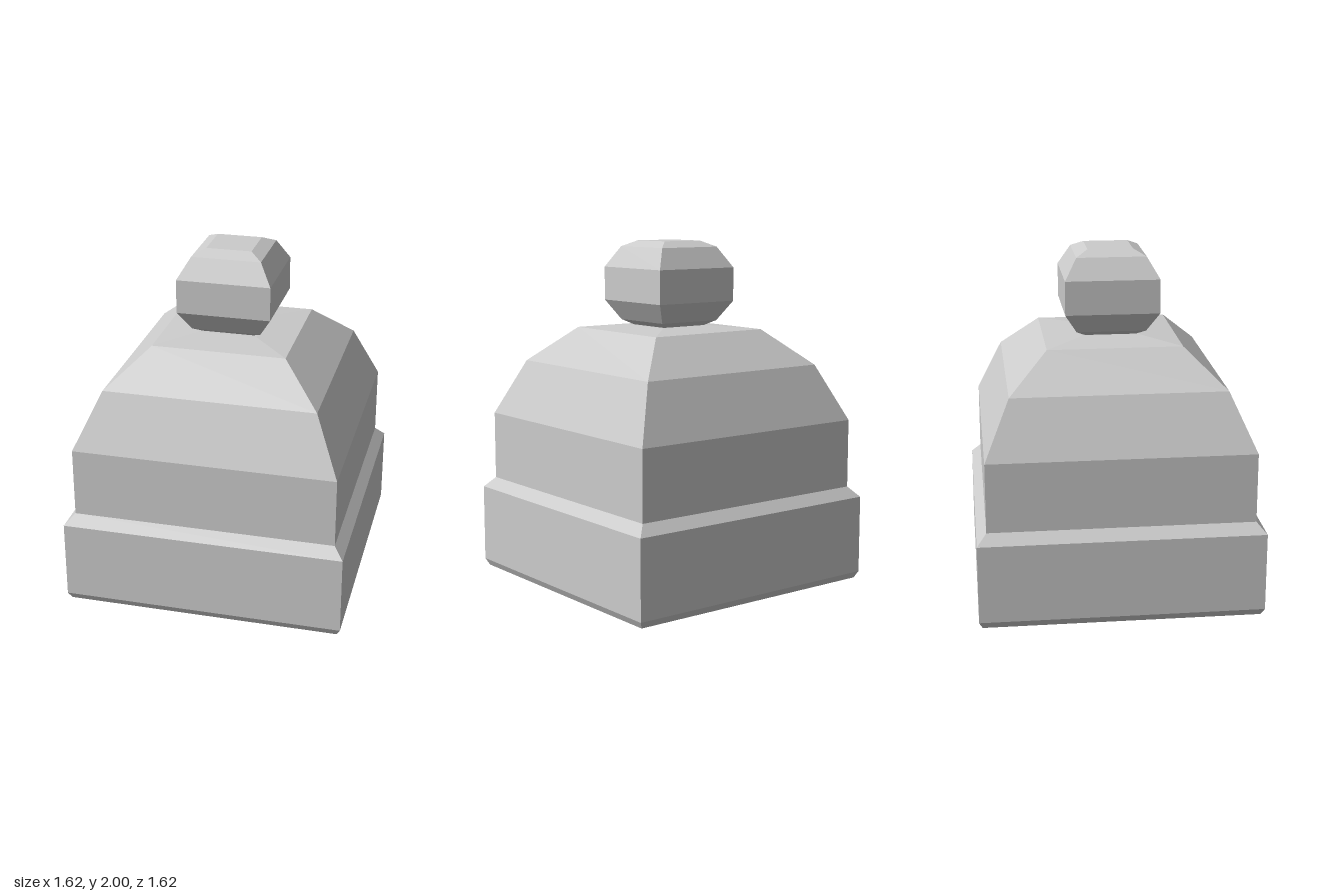
import * as THREE from 'three';

// Square "lathe": sweeps a [half width, y] profile around four flat sides.
function squareLathe(name, profile) {
  const points = profile.map(([w, y]) => new THREE.Vector2(w * Math.SQRT2, y));
  const geometry = new THREE.LatheGeometry(points, 4);
  geometry.rotateY(Math.PI / 4);
  const material = new THREE.MeshStandardMaterial({ color: 0xcccccc, flatShading: true });
  const mesh = new THREE.Mesh(geometry, material);
  mesh.name = name;
  return mesh;
}

export function createModel() {
  const hat = new THREE.Group();
  hat.name = 'knitHat';

  // Folded brim, from its inner ledge round the rim to the outer bevel
  hat.add(squareLathe('brim', [
    [0.73, 0.47], [0.78, 0.42], [0.79, 0], [0.81, 0.04], [0.81, 0.495], [0.755, 0.555],
  ]));

  // Outer crown, rising to a shallow peak
  hat.add(squareLathe('crown', [
    [0.755, 0.555], [0.755, 0.955], [0.61, 1.28], [0.385, 1.485], [0.17, 1.505], [0, 1.505],
  ]));

  // Inside of the crown: the profile runs downward so its faces look inward
  hat.add(squareLathe('lining', [
    [0, 1.43], [0.36, 1.41], [0.58, 1.2], [0.73, 0.85], [0.73, 0.47],
  ]));

  // Pompom
  hat.add(squareLathe('pompom', [
    [0, 1.495], [0.13, 1.495], [0.2, 1.535], [0.27, 1.65],
    [0.27, 1.845], [0.2, 1.965], [0.13, 2], [0, 2],
  ]));

  return hat;
}
